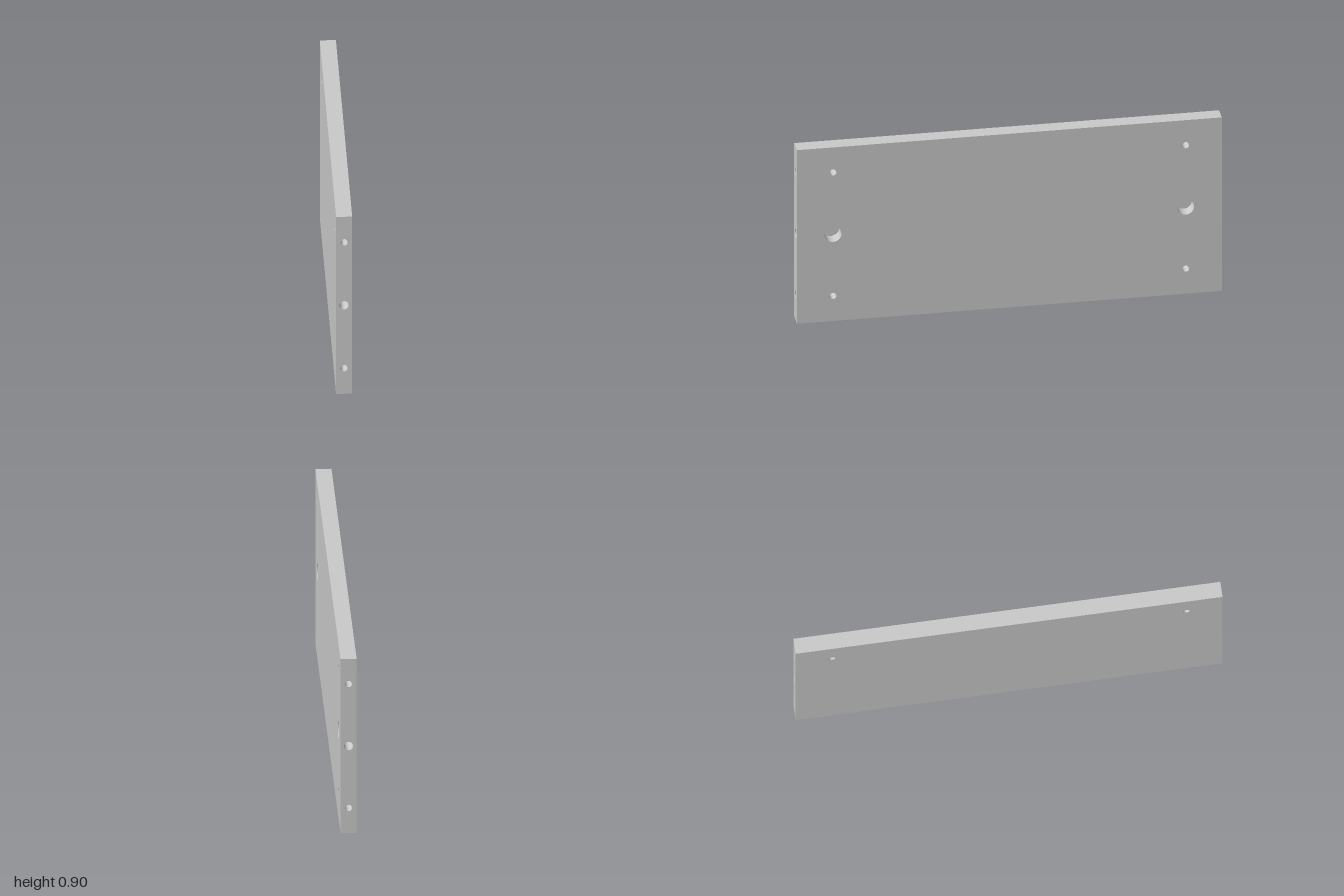
import * as THREE from 'three';
import { ParametricGeometry } from 'three/addons/geometries/ParametricGeometry.js';

const T = 0.0375, H = 0.9, L = 1;            // half thickness, height, half length
const ROWS = [0.13, 0.45, 0.77];             // hole heights
const HOLE_Z = 0.83, PIN_R = 0.016, CAM_R = 0.04, BOLT_R = 0.021, DOWEL_R = 0.016;
const FLOOR_X = -0.025, DOWEL_DEPTH = 0.125;
const SEG = 48;

export function createModel() {
  const group = new THREE.Group();
  const solid = new THREE.MeshStandardMaterial({ color: 0xcccccc });
  const lining = new THREE.MeshStandardMaterial({ color: 0xcccccc, side: THREE.DoubleSide });

  const add = (name, geometry, material = lining) => {
    const mesh = new THREE.Mesh(geometry, material);
    mesh.name = name;
    group.add(mesh);
    return mesh;
  };

  // Flat panel side pierced by round holes [u, v, radius]
  const pierced = (halfWidth, holes) => {
    const shape = new THREE.Shape([
      new THREE.Vector2(-halfWidth, 0), new THREE.Vector2(halfWidth, 0),
      new THREE.Vector2(halfWidth, H), new THREE.Vector2(-halfWidth, H)]);
    for (const [u, v, r] of holes) {
      shape.holes.push(new THREE.Path().absarc(u, v, r, 0, Math.PI * 2, true));
    }
    return new THREE.ShapeGeometry(shape, SEG / 2);
  };

  // Broad faces: the upper holes go right through, the others are blind
  const innerHoles = [], outerHoles = [];
  for (const s of [-1, 1]) {
    innerHoles.push([s * HOLE_Z, ROWS[0], PIN_R], [s * HOLE_Z, ROWS[1], CAM_R], [s * HOLE_Z, ROWS[2], PIN_R]);
    outerHoles.push([s * HOLE_Z, ROWS[2], PIN_R]);
  }
  add('innerFace', pierced(L, innerHoles).rotateY(Math.PI / 2).translate(T, 0, 0), solid);
  add('outerFace', pierced(L, outerHoles).rotateY(-Math.PI / 2).translate(-T, 0, 0), solid);

  // Plain long edges
  add('topEdge', new THREE.PlaneGeometry(2 * T, 2 * L).rotateX(-Math.PI / 2).translate(0, H, 0), solid);
  add('bottomEdge', new THREE.PlaneGeometry(2 * T, 2 * L).rotateX(Math.PI / 2), solid);

  // Bore running across the thickness from the inner face to x = end
  const crossBore = (name, r, y, z, end, start = 0, sweep = Math.PI * 2) => {
    add(name, new THREE.CylinderGeometry(r, r, T - end, SEG, 1, true, start, sweep)
      .rotateZ(Math.PI / 2).translate((T + end) / 2, y, z));
    if (end > -T) {
      add(name + 'Floor', new THREE.CircleGeometry(r, SEG).rotateY(Math.PI / 2).translate(end, y, z));
    }
  };

  const A = Math.PI / 3;                     // half angle of the cam wall patch
  const clampUnit = v => Math.max(-1, Math.min(1, v * Math.SQRT2));

  for (const s of [-1, 1]) {
    const end = s > 0 ? 'front' : 'back';

    // End face with two dowel holes and a bolt hole
    add(end + 'EndFace', pierced(T, ROWS.map((y, i) => [0, y, i === 1 ? BOLT_R : DOWEL_R]))
      .rotateY(s > 0 ? 0 : Math.PI).translate(0, 0, s * L), solid);

    // Dowel holes
    for (const y of [ROWS[0], ROWS[2]]) {
      add(end + 'DowelHole', new THREE.CylinderGeometry(DOWEL_R, DOWEL_R, DOWEL_DEPTH, SEG, 1, true)
        .rotateX(Math.PI / 2).translate(0, y, s * (L - DOWEL_DEPTH / 2)));
      add(end + 'DowelHoleFloor', new THREE.CircleGeometry(DOWEL_R, SEG)
        .rotateY(s > 0 ? 0 : Math.PI).translate(0, y, s * (L - DOWEL_DEPTH)));
    }

    // Pin holes and cam pocket
    crossBore(end + 'BlindPinHole', PIN_R, ROWS[0], s * HOLE_Z, FLOOR_X);
    crossBore(end + 'ThroughPinHole', PIN_R, ROWS[2], s * HOLE_Z, -T);
    crossBore(end + 'CamPocket', CAM_R, ROWS[1], s * HOLE_Z, FLOOR_X,
      A + (s > 0 ? 0 : Math.PI), Math.PI * 2 - 2 * A);

    // Bolt hole from the end face to the curved cam wall
    add(end + 'BoltHole', new ParametricGeometry((u, v, p) => {
      const a = u * Math.PI * 2, y = BOLT_R * Math.cos(a);
      const wall = HOLE_Z + Math.sqrt(CAM_R ** 2 - y * y);
      p.set(BOLT_R * Math.sin(a), ROWS[1] + y, s * (wall + (L - wall) * v));
    }, SEG, 1));

    // Cam wall around the bolt opening
    add(end + 'CamWall', new ParametricGeometry((u, v, p) => {
      const a = u * Math.PI * 2, c = Math.cos(a), d = Math.sin(a);
      const angle = THREE.MathUtils.lerp(Math.asin(BOLT_R * c / CAM_R), A * clampUnit(c), v);
      const edge = clampUnit(d) * (d > 0 ? T : -FLOOR_X);
      p.set(THREE.MathUtils.lerp(BOLT_R * d, edge, v),
        ROWS[1] + CAM_R * Math.sin(angle), s * (HOLE_Z + CAM_R * Math.cos(angle)));
    }, SEG, 6));
  }
  return group;
}
